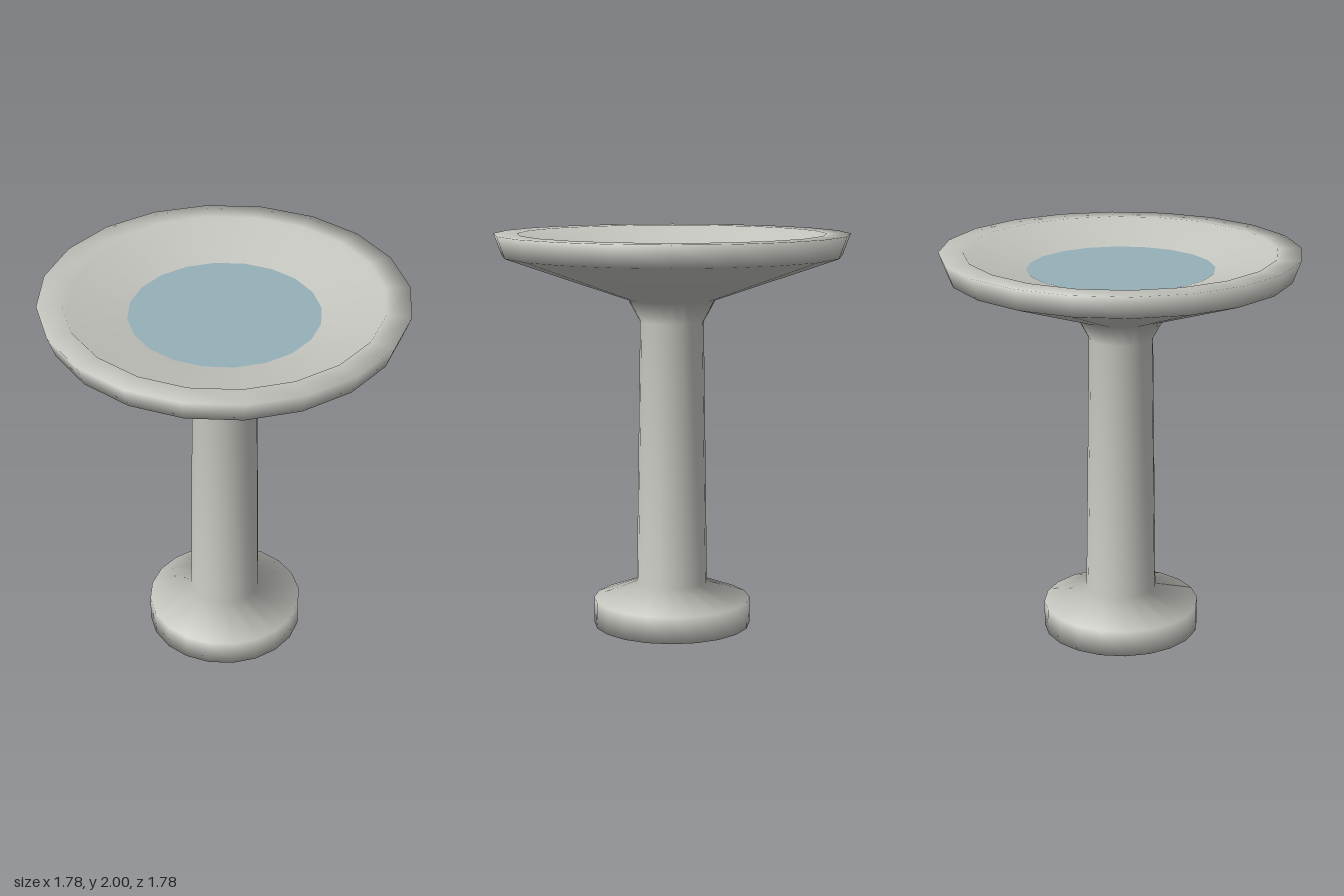
import * as THREE from 'three';

const SIDES = 20;

const stone = new THREE.MeshStandardMaterial({ color: 0xc4c5be });
stone.name = 'pale stone';
const waterBlue = new THREE.MeshStandardMaterial({ color: 0x96b0b9 });
waterBlue.name = 'water blue';

export function createModel() {
  const group = new THREE.Group();
  group.name = 'birdBath';

  // Pedestal and basin turned as one smooth piece
  const profile = [
    [0, 0], [0.4, 0], [0.4, 0.135],                // foot
    [0.18, 0.22], [0.16, 1.56], [0.22, 1.67],      // shaft and neck flare
    [0.85, 1.89], [0.89, 2],                       // underside and rim wall
    [0.77, 2], [0.75, 1.975], [0, 1.8],            // flat lip and inner bowl
  ].map(([r, y]) => new THREE.Vector2(r, y));
  const body = new THREE.Mesh(new THREE.LatheGeometry(profile, SIDES), stone);
  body.name = 'pedestalAndBasin';
  group.add(body);

  // Flat water surface resting in the bowl
  const waterGeometry = new THREE.CircleGeometry(0.465, SIDES);
  waterGeometry.rotateX(-Math.PI / 2);
  const water = new THREE.Mesh(waterGeometry, waterBlue);
  water.name = 'water';
  water.position.y = 1.91;
  group.add(water);

  return group;
}
